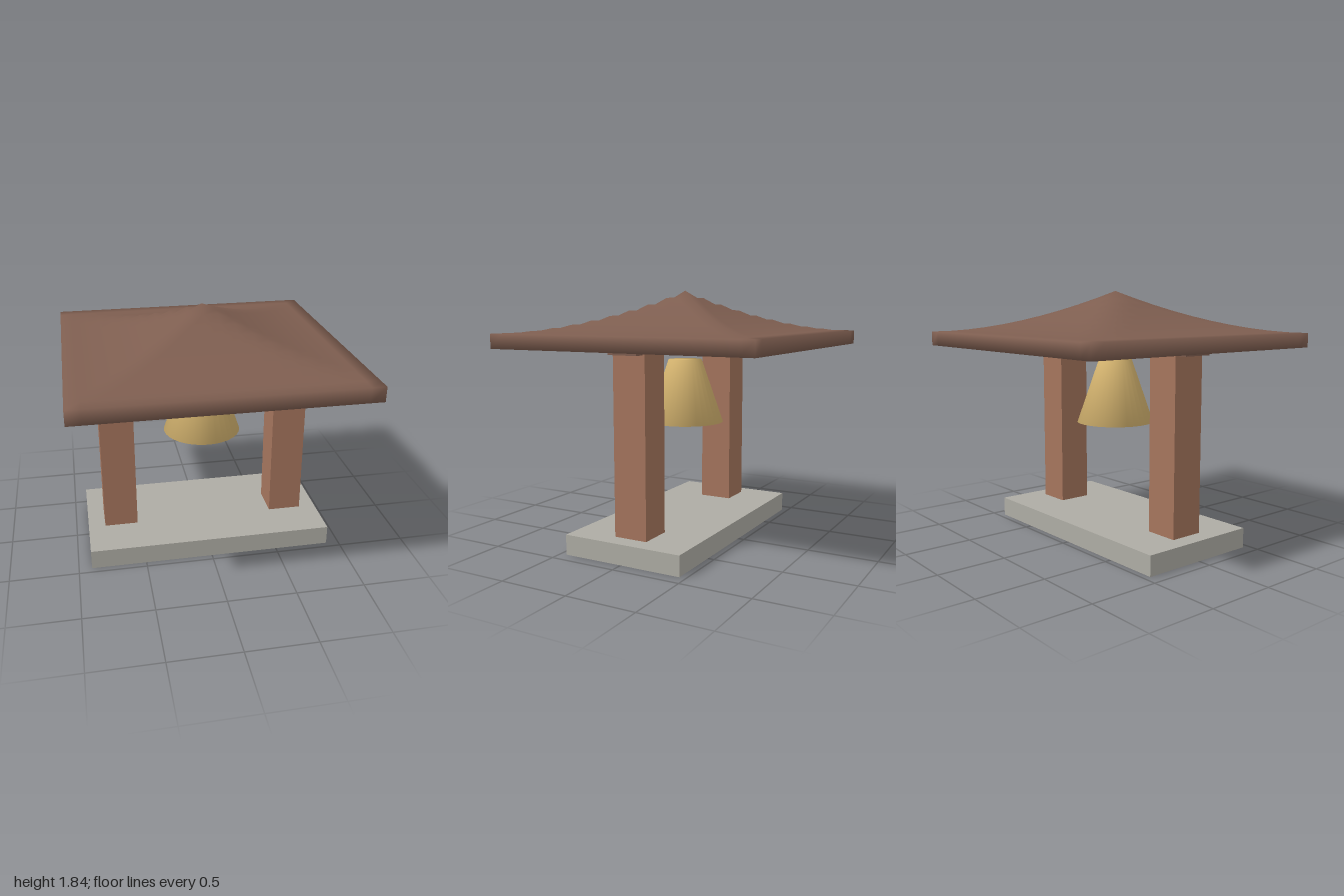
import * as THREE from 'three';
import { mergeVertices } from 'three/addons/utils/BufferGeometryUtils.js';

const material = (name, color) => {
  const m = new THREE.MeshStandardMaterial({ color });
  m.name = name;
  return m;
};

// Weld all corners so the shading runs softly over the edges
function soften(geometry) {
  geometry.deleteAttribute('normal');
  geometry.deleteAttribute('uv');
  const welded = mergeVertices(geometry, 1e-4);
  welded.computeVertexNormals();
  return welded;
}

export function createModel() {
  const group = new THREE.Group();
  group.name = 'bellPavilion';
  const stone = material('grey stone', 0xaeaca4);
  const wood = material('reddish wood', 0xa5755d);
  const roofBrown = material('roof brown', 0x7e5e50);
  const brass = material('brass', 0xd6b570);

  const add = (name, geometry, mat, x, y, z) => {
    const mesh = new THREE.Mesh(geometry, mat);
    mesh.name = name;
    mesh.position.set(x, y, z);
    group.add(mesh);
  };

  // Stone plinth
  add('base', new THREE.BoxGeometry(1.81, 0.145, 0.905), stone, 0, 0.0725, 0);

  // Two square posts
  for (const side of [-1, 1]) {
    add(side > 0 ? 'leftPost' : 'rightPost',
      new THREE.BoxGeometry(0.25, 1.275, 0.25), wood, side * 0.653, 0.1450 + 0.6375, 0);
  }

  // Cross beam, its ends tucked into the hollow of the roof
  add('beam', new THREE.BoxGeometry(1.72, 0.1, 0.22), roofBrown, 0, 1.455, 0);

  // Bell
  add('bell', soften(new THREE.CylinderGeometry(0.125, 0.288, 0.47, 32)), brass, 0, 1.095, 0);

  // Roof: a thin slab swept up to a point along four concave slopes
  const slab = new THREE.BoxGeometry(2, 0.105, 2, 20, 1, 20);
  const p = slab.attributes.position;
  for (let i = 0; i < p.count; i++) {
    const r = Math.min(1, Math.max(Math.abs(p.getX(i)), Math.abs(p.getZ(i))));
    p.setY(i, p.getY(i) + 0.305 * Math.pow(1 - r, 1.8));
  }
  add('roof', soften(slab), roofBrown, 0, 1.481, 0);

  return group;
}
